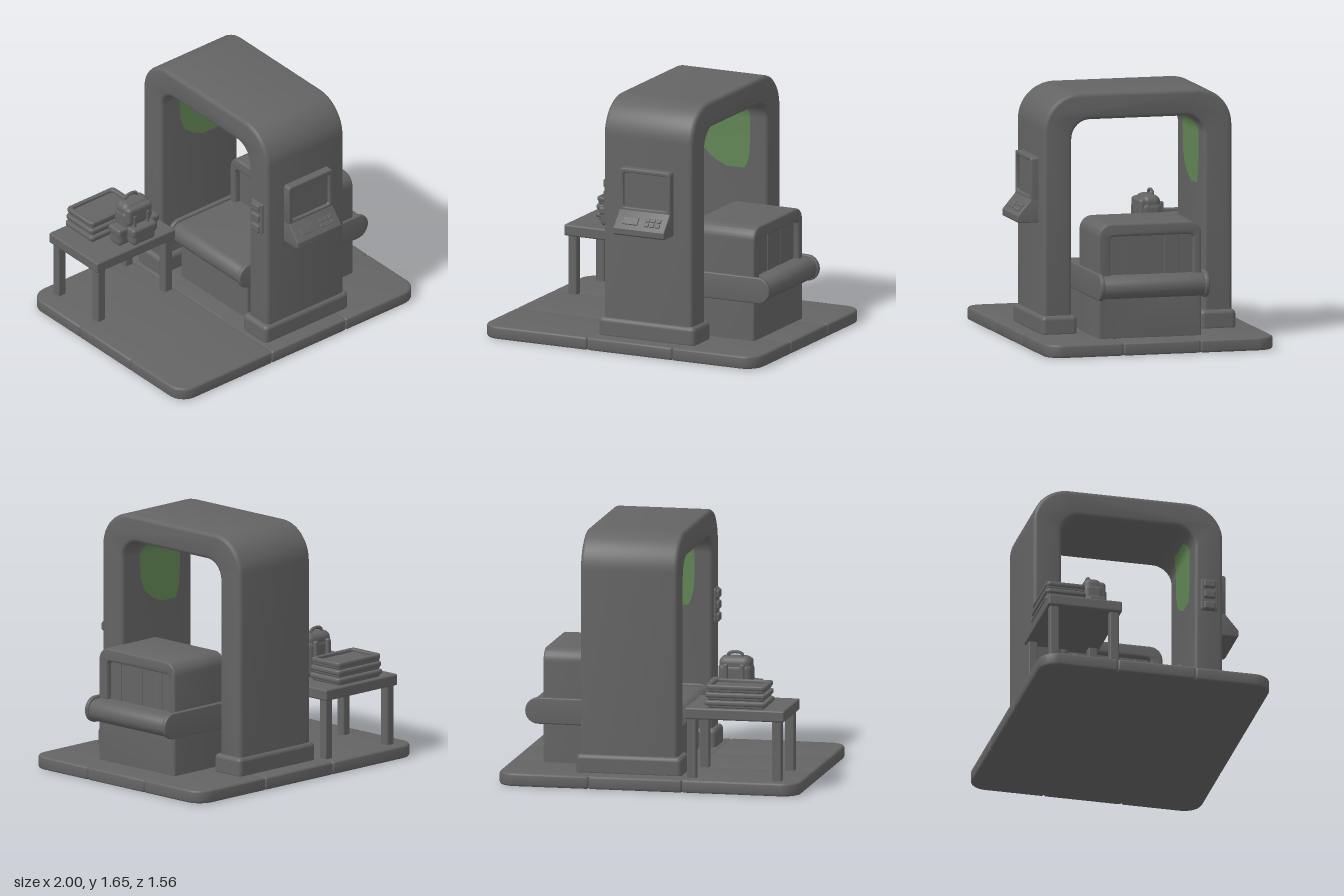
import * as THREE from 'three';
import { toCreasedNormals } from 'three/addons/utils/BufferGeometryUtils.js';
import { RoundedBoxGeometry } from 'three/addons/geometries/RoundedBoxGeometry.js';

const grey = new THREE.MeshStandardMaterial({ color: 0x646464 });
grey.name = 'grey';
const green = new THREE.MeshStandardMaterial({ color: 0x628656, side: THREE.DoubleSide });
green.name = 'green';

function add(parent, name, geometry, material = grey) {
  const mesh = new THREE.Mesh(geometry, material);
  mesh.name = name;
  parent.add(mesh);
  return mesh;
}

function group(parent, name) {
  const g = new THREE.Group();
  g.name = name;
  parent.add(g);
  return g;
}

// Box with rounded edges, given by its limits
function block(parent, name, x0, x1, y0, y1, z0, z1, r = 0.012) {
  const geo = new RoundedBoxGeometry(x1 - x0, y1 - y0, z1 - z0, 3, r);
  geo.translate((x0 + x1) / 2, (y0 + y1) / 2, (z0 + z1) / 2);
  return add(parent, name, geo);
}

// Rounded rectangle; radii run bottom-left, bottom-right, top-right, top-left
function rect(x0, y0, x1, y1, radii, Type = THREE.Shape) {
  const [a, b, c, d] = Array.isArray(radii) ? radii : [radii, radii, radii, radii];
  const s = new Type();
  s.moveTo(x0 + a, y0);
  s.lineTo(x1 - b, y0);
  if (b) s.absarc(x1 - b, y0 + b, b, -Math.PI / 2, 0);
  s.lineTo(x1, y1 - c);
  if (c) s.absarc(x1 - c, y1 - c, c, 0, Math.PI / 2);
  s.lineTo(x0 + d, y1);
  if (d) s.absarc(x0 + d, y1 - d, d, Math.PI / 2, Math.PI);
  s.lineTo(x0, y0 + a);
  if (a) s.absarc(x0 + a, y0 + a, a, Math.PI, Math.PI * 1.5);
  return s;
}

// Extrusion between two z limits, bevelled inwards
function alongZ(shape, z0, z1, bevel) {
  const geo = new THREE.ExtrudeGeometry(shape, {
    depth: z1 - z0 - 2 * bevel, bevelEnabled: bevel > 0, bevelSize: bevel, bevelThickness: bevel,
    bevelOffset: -bevel, bevelSegments: 3, curveSegments: 10,
  });
  geo.translate(0, 0, z0 + bevel);
  return toCreasedNormals(geo, 0.6);
}
// Profile drawn in (-z, y), extruded along x
const alongX = (shape, x0, x1, bevel) => alongZ(shape, x0, x1, bevel).rotateY(Math.PI / 2);
// Plan drawn in (x, -z), extruded upwards
const alongY = (shape, y0, y1, bevel) => alongZ(shape, y0, y1, bevel).rotateX(-Math.PI / 2);

function buildBase(parent) {
  const g = group(parent, 'base');
  const xs = [-1, -0.23, 0.39, 1], ps = [-0.765, -0.25, 0.27, 0.78];
  for (let i = 0; i < 3; i++) for (let j = 0; j < 3; j++) {
    const r = (u, v) => (i === u && j === v ? 0.12 : 0.015);
    const tile = rect(xs[i], ps[j], xs[i + 1], ps[j + 1], [r(0, 0), r(2, 0), r(2, 2), r(0, 2)]);
    add(g, 'baseTile', alongY(tile, 0.005, 0.09, 0.014));
  }
  add(g, 'baseCore', alongY(rect(-0.975, -0.74, 0.975, 0.755, 0.1), 0.007, 0.088, 0.005));
}

function buildGate(parent) {
  const g = group(parent, 'gate');
  const s = new THREE.Shape();
  s.moveTo(-0.64, 0.05);
  s.lineTo(-0.64, 1.42);
  s.absarc(-0.4, 1.42, 0.24, Math.PI, Math.PI / 2, true);
  s.absarc(0.39, 1.42, 0.24, Math.PI / 2, 0, true);
  s.lineTo(0.63, 0.05);
  s.lineTo(0.44, 0.05);
  s.absarc(0.315, 1.36, 0.125, 0, Math.PI / 2);
  s.absarc(-0.325, 1.36, 0.125, Math.PI / 2, Math.PI);
  s.lineTo(-0.45, 0.05);
  add(g, 'arch', alongX(s, -0.17, 0.475, 0.025));
  for (const z of [0.54, -0.53]) block(g, 'foot', -0.2, 0.5, 0.07, 0.21, z - 0.12, z + 0.12, 0.03);

  // Green patches on the inner faces: y, z, left, right for each row
  const rows = [[1.02, -0.2, 0.03, 0.16], [1.06, -0.2, -0.06, 0.18], [1.12, -0.2, -0.13, 0.195],
    [1.2, -0.2, -0.16, 0.2], [1.36, -0.2, -0.17, 0.2]].map(([y, , l, r]) => [y, -0.441, l, r]);
  [0.25, 0.5, 0.75].forEach((t, i) => rows.push([1.36 + 0.12 * Math.sin(t), -0.321 - 0.12 * Math.cos(t),
    [-0.16, -0.13, -0.07][i], [0.2, 0.19, 0.15][i]]));
  const pos = [], index = [];
  rows.forEach(([y, z, l, r], i) => {
    pos.push(l, y, z, r, y, z);
    const k = i * 2;
    if (i) index.push(k - 2, k - 1, k + 1, k - 2, k + 1, k);
  });
  const patch = new THREE.BufferGeometry();
  patch.setAttribute('position', new THREE.Float32BufferAttribute(pos, 3));
  patch.setIndex(index);
  patch.computeVertexNormals();
  for (const turn of [0, Math.PI]) {
    const m = add(g, 'greenPatch', patch, green);
    m.position.set(0.15, 0, 0.005);
    m.rotation.y = turn;
  }

  // Side keypad
  block(g, 'sidePanel', -0.185, -0.16, 0.9, 1.12, 0.49, 0.6, 0.008);
  for (const y of [0.93, 1.01, 1.085]) block(g, 'sideButton', -0.203, -0.17, y - 0.028, y + 0.028, 0.505, 0.585, 0.012);
}

function buildConsole(parent) {
  const g = group(parent, 'console');
  const frame = rect(-0.03, 0.94, 0.34, 1.235, 0.02);
  frame.holes.push(rect(0, 0.975, 0.31, 1.205, 0.015, THREE.Path));
  add(g, 'screenFrame', alongZ(frame, 0.62, 0.692, 0.008));
  block(g, 'screen', -0.02, 0.33, 0.95, 1.225, 0.62, 0.672, 0.005);
  const s = new THREE.Shape([[-0.62, 0.96], [-0.62, 0.805], [-0.77, 0.805], [-0.78, 0.815], [-0.78, 0.85], [-0.7, 0.945],
    [-0.69, 0.96]].map(p => new THREE.Vector2(...p)));
  add(g, 'keyShelf', alongX(s, -0.03, 0.34, 0.006));
  const keys = group(g, 'keys');
  keys.position.set(0.155, 0.9, 0.738);
  keys.rotation.x = -0.7;
  block(keys, 'cardSlot', -0.13, -0.02, -0.03, 0.025, -0.01, 0.008, 0.004);
  for (const x of [0.045, 0.085, 0.125]) for (const y of [-0.02, 0.015])
    block(keys, 'key', x - 0.015, x + 0.015, y - 0.013, y + 0.013, -0.01, 0.009, 0.004);
}

function buildScanner(parent) {
  const g = group(parent, 'scanner');
  const hood = rect(-0.36, 0.08, 0.335, 0.84, [0, 0, 0.085, 0.085]);
  hood.holes.push(rect(-0.28, 0.47, 0.28, 0.755, [0, 0, 0.025, 0.025], THREE.Path));
  add(g, 'hood', alongX(hood, 0.32, 0.785, 0.014));
  for (const x of [0.36, 0.735]) for (let i = 0; i < 6; i++) {
    const z = -0.235 + i * 0.094;
    block(g, 'curtainStrip', x, x + 0.01 + 0.004 * (i % 2), 0.48, 0.76, z - 0.048, z + 0.048, 0.004);
  }
  block(g, 'conveyorBody', -0.1, 0.77, 0.08, 0.42, -0.325, 0.35);
  add(g, 'belt', alongZ(rect(-0.175, 0.355, 0.89, 0.5, 0.072), -0.34, 0.362, 0.005));
  for (const z of [-0.345, 0.36])
    add(g, 'sideRail', alongZ(rect(-0.185, 0.345, 0.9, 0.518, 0.086), z - 0.015, z + 0.015, 0.008));
}

function buildTable(parent) {
  const g = group(parent, 'table');
  block(g, 'tableTop', -0.895, -0.235, 0.48, 0.555, -0.71, -0.217, 0.012);
  for (const x of [-0.842, -0.277]) for (const z of [-0.665, -0.265])
    block(g, 'tableLeg', x - 0.031, x + 0.031, 0.08, 0.5, z - 0.031, z + 0.031, 0.01);

  // Stacked trays; the top one is open
  const t = group(g, 'trays');
  for (let i = 0; i < 3; i++) {
    const y = 0.555 + i * 0.052, d = i * 0.004;
    const rim = rect(-0.775 + d, 0.42 + d, -0.36 - d, 0.7 - d, 0.03);
    rim.holes.push(rect(-0.735, 0.455, -0.4, 0.665, 0.02, THREE.Path));
    add(t, 'trayRim', alongY(rim, y + 0.018, y + 0.05, 0.01));
    block(t, 'trayFloor', -0.755, -0.38, y, y + 0.028, -0.685, -0.435, 0.01);
  }

  // Backpack
  const b = group(g, 'backpack');
  block(b, 'packBody', -0.61, -0.385, 0.555, 0.8, -0.405, -0.265, 0.04);
  block(b, 'packTop', -0.605, -0.39, 0.7, 0.845, -0.4, -0.275, 0.045);
  block(b, 'packFlap', -0.6, -0.395, 0.7, 0.825, -0.385, -0.25, 0.025);
  block(b, 'frontPocket', -0.59, -0.405, 0.565, 0.675, -0.3, -0.21, 0.025);
  block(b, 'pocketFlap', -0.598, -0.397, 0.63, 0.69, -0.3, -0.203, 0.018);
  for (const s of [-1, 1]) {
    const x = -0.497 + s * 0.125;
    block(b, 'sidePocket', x - 0.042, x + 0.042, 0.558, 0.67, -0.38, -0.27, 0.03);
    block(b, 'sidePocketFlap', x - 0.046, x + 0.046, 0.635, 0.688, -0.385, -0.265, 0.016);
    const sx = -0.497 + s * 0.055;
    block(b, 'strap', sx - 0.01, sx + 0.01, 0.67, 0.77, -0.3, -0.24, 0.005);
    block(b, 'shoulderStrap', sx - 0.016, sx + 0.016, 0.58, 0.8, -0.425, -0.39, 0.012);
  }
  const handle = new THREE.CatmullRomCurve3([[-0.545, 0.83], [-0.54, 0.86], [-0.497, 0.872], [-0.454, 0.86], [-0.449, 0.83]]
    .map(([x, y]) => new THREE.Vector3(x, y, -0.355)));
  add(b, 'handle', new THREE.TubeGeometry(handle, 20, 0.011, 8));
}

export function createModel() {
  const model = new THREE.Group();
  model.name = 'securityCheckpoint';
  buildBase(model);
  buildGate(model);
  buildConsole(model);
  buildScanner(model);
  buildTable(model);
  return model;
}
